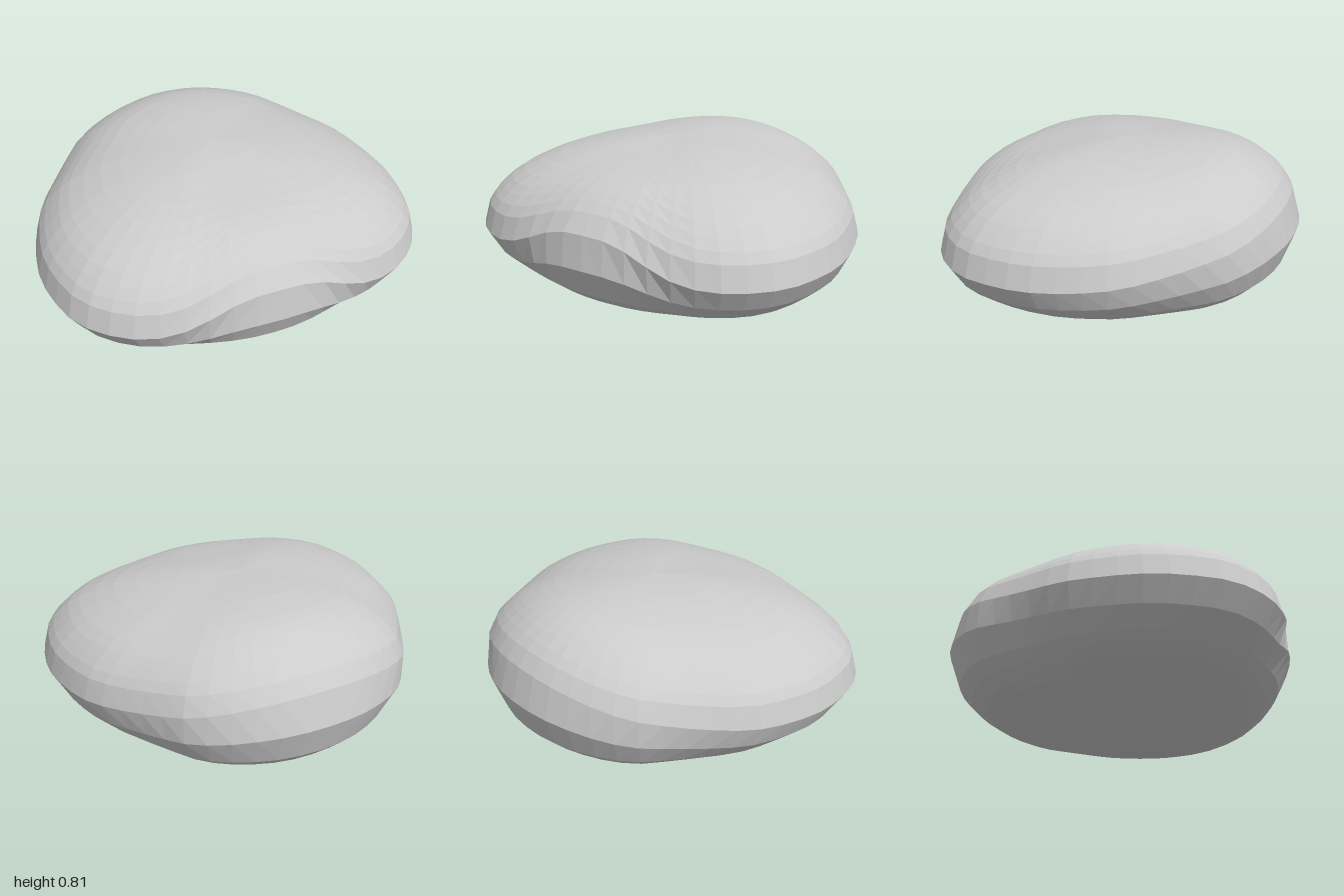
import * as THREE from 'three';

// Half of the plan outline, front centre to back centre (x, z)
const OUTLINE = [[0, 0.905], [0.2, 0.895], [0.4, 0.873], [0.6, 0.825], [0.75, 0.75], [0.9, 0.6], [0.97, 0.42],
  [1, 0.22], [0.975, 0], [0.925, -0.18], [0.835, -0.34], [0.725, -0.515], [0.62, -0.665], [0.46, -0.785],
  [0.22, -0.88], [0, -0.905]];

// Profiles from bottom pole to top pole: fraction of the outline radius, height
const FRONT = [[0, 0], [0.2, 0.003], [0.4, 0.01], [0.6, 0.035], [0.76, 0.08], [0.92, 0.18], [1, 0.33], [0.975, 0.5],
  [0.9, 0.588], [0.79, 0.66], [0.67, 0.704], [0.55, 0.73], [0.36, 0.762], [0.19, 0.787], [0, 0.803]];
const SIDE = [[0, 0], [0.2, 0.004], [0.4, 0.014], [0.6, 0.045], [0.74, 0.095], [0.845, 0.155], [0.935, 0.23], [1, 0.34],
  [0.97, 0.46], [0.9, 0.55], [0.8, 0.63], [0.62, 0.71], [0.4, 0.765], [0.2, 0.793], [0, 0.803]];
const BACK = [[0, 0], [0.2, 0.003], [0.4, 0.01], [0.6, 0.03], [0.76, 0.08], [0.93, 0.21], [1, 0.39], [0.945, 0.56],
  [0.885, 0.635], [0.78, 0.71], [0.67, 0.76], [0.55, 0.79], [0.36, 0.808], [0.18, 0.808], [0, 0.803]];

const SEGMENTS = 52;

// Ring levels: wide facets round the belt, finer steps above and below
function ringLevels() {
  const levels = [];
  for (let k = 0; k < 14; k++) {
    levels.push(k);
    if (k < 5 || k > 7) levels.push(k + 0.5);
  }
  return [...levels, 14];
}

function profileCurve(points) {
  return new THREE.SplineCurve(points.map(([s, y]) => new THREE.Vector2(s, y)));
}

function pebbleGeometry() {
  const mirrored = OUTLINE.slice(1, -1).reverse().map(([x, z]) => [-x, z]);
  const outline = new THREE.CatmullRomCurve3(
    [...OUTLINE, ...mirrored].map(([x, z]) => new THREE.Vector3(x, 0, z)), true);
  const rim = outline.getSpacedPoints(SEGMENTS).slice(0, SEGMENTS);
  const curves = [FRONT, SIDE, BACK].map(profileCurve);
  const levels = ringLevels();
  const positions = [];
  const index = [];

  // Each ring blends the three profiles by its direction round the body;
  // the front blend widens towards the top
  for (const level of levels) {
    const [f, m, b] = curves.map((c) => c.getPoint(level / 14));
    const frontWidth = 0.42 + 0.06 * Math.max(0, level - 8);
    for (const p of rim) {
      const angle = Math.abs(Math.atan2(p.x, p.z));
      const wf = Math.exp(-((angle / frontWidth) ** 3));
      const wb = Math.exp(-((Math.PI - angle) ** 2)) * (1 - wf);
      const wm = 1 - wf - wb;
      const s = f.x * wf + m.x * wm + b.x * wb;
      positions.push(p.x * s, f.y * wf + m.y * wm + b.y * wb, p.z * s);
    }
  }

  // Quads between rings, with diagonals mirrored left to right; triangles at the poles
  const last = levels.length - 2;
  for (let i = 0; i <= last; i++) {
    for (let j = 0; j < SEGMENTS; j++) {
      const a = i * SEGMENTS + j;
      const b = i * SEGMENTS + (j + 1) % SEGMENTS;
      const c = b + SEGMENTS;
      const d = a + SEGMENTS;
      if (i === 0) index.push(a, c, d);
      else if (i === last) index.push(a, b, c);
      else if (j < SEGMENTS / 2) index.push(a, b, d, b, c, d);
      else index.push(a, b, c, a, c, d);
    }
  }
  const geometry = new THREE.BufferGeometry();
  geometry.setAttribute('position', new THREE.Float32BufferAttribute(positions, 3));
  geometry.setIndex(index);
  geometry.computeVertexNormals();
  return geometry;
}

export function createModel() {
  const group = new THREE.Group();
  group.name = 'pebble';
  const material = new THREE.MeshStandardMaterial({ color: 0xcccccc, flatShading: true });
  const body = new THREE.Mesh(pebbleGeometry(), material);
  body.name = 'pebbleBody';
  group.add(body);
  return group;
}
